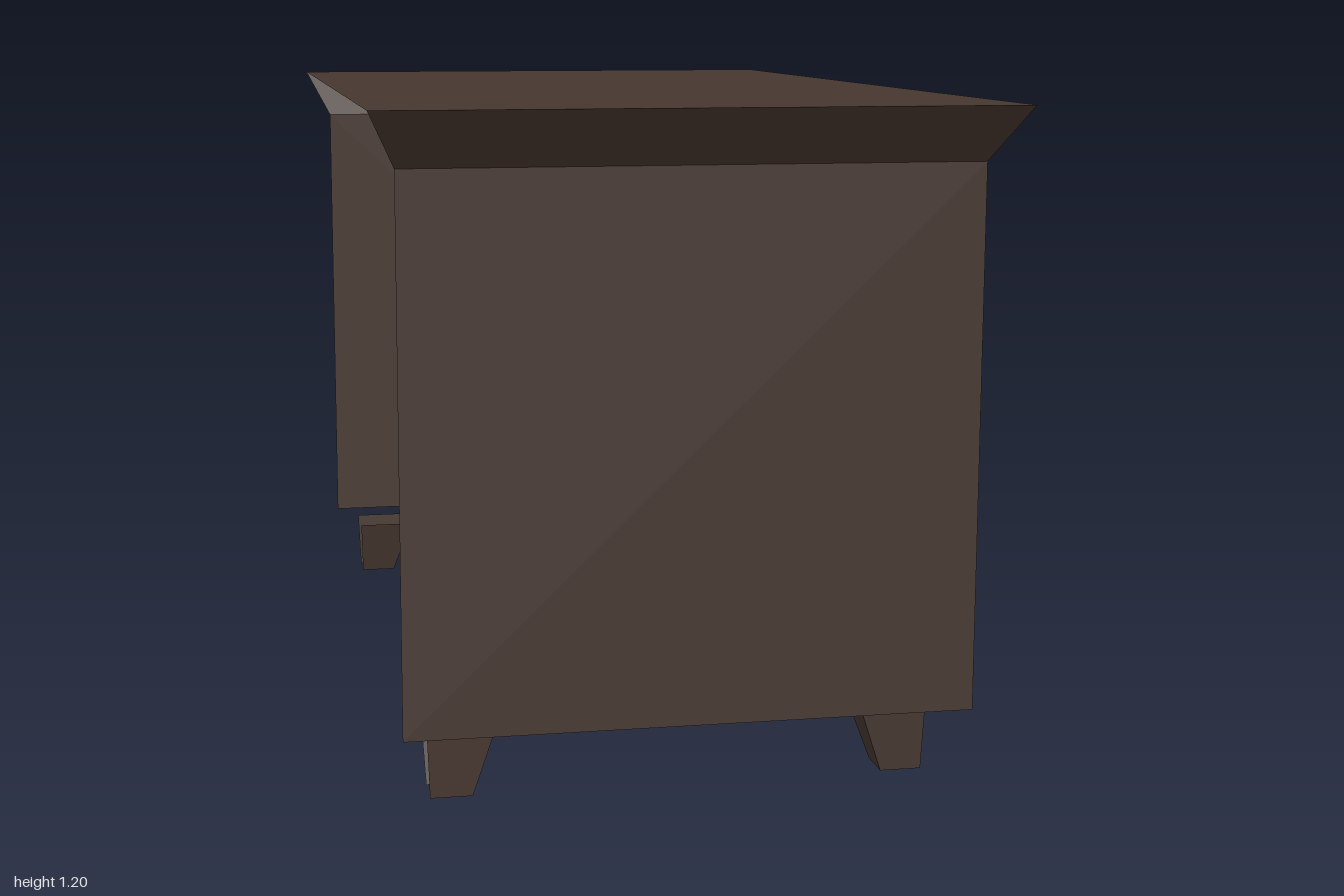
import * as THREE from 'three';

// Corners of a horizontal rectangle: front left of frame, then counterclockwise seen from above
const rect = (x0, x1, z0, z1, y) => [[x0, y, z1], [x1, y, z1], [x1, y, z0], [x0, y, z0]];

// One flat four-cornered panel
function panel(name, corners, material) {
  const [a, b, c, d] = corners;
  const geometry = new THREE.BufferGeometry();
  geometry.setAttribute('position', new THREE.Float32BufferAttribute([a, b, c, a, c, d].flat(), 3));
  geometry.computeVertexNormals();
  const mesh = new THREE.Mesh(geometry, material);
  mesh.name = name;
  return mesh;
}

// Open ring of panels between two rectangles, on the listed sides (0 front, 1 +x, 2 back, 3 -x)
const sideNames = ['Front', 'Left', 'Back', 'Right'];
function ring(name, low, high, sides, material) {
  const group = new THREE.Group();
  group.name = name;
  for (const i of sides) {
    const j = (i + 1) % 4;
    group.add(panel(name + sideNames[i], [low[i], low[j], high[j], high[i]], material));
  }
  return group;
}

export function createModel() {
  const model = new THREE.Group();
  model.name = 'sideTable';
  const wood = new THREE.MeshStandardMaterial({ color: 0x463730, side: THREE.DoubleSide });
  wood.name = 'dark wood';

  // Body and flared cornice, open on the -x side and below
  const base = rect(-0.51, 0.51, -0.905, 0.905, 0.12);
  const neck = rect(-0.51, 0.51, -0.905, 0.905, 1.1);
  const rim = rect(-0.56, 0.56, -1, 1, 1.2);
  model.add(ring('wall', base, neck, [0, 1, 2], wood));
  model.add(ring('cornice', neck, rim, [0, 1, 2], wood));
  model.add(panel('top', rim, wood));

  // Hollow feet, tapering mostly on their inner sides; the -x pair lacks its outer face
  const footRect = (sx, sz, xIn, xOut, zIn, zOut, y) => {
    const xs = [xIn, xOut].map(v => sx * v - 0.015).sort((a, b) => a - b);
    const zs = [zIn, zOut].map(v => sz * v + 0.02).sort((a, b) => a - b);
    return rect(...xs, ...zs, y);
  };
  for (const sx of [-1, 1]) {
    for (const sz of [-1, 1]) {
      const low = footRect(sx, sz, 0.37, 0.445, 0.77, 0.84, 0);
      const high = footRect(sx, sz, 0.33, 0.45, 0.735, 0.845, 0.12);
      model.add(ring('foot', low, high, sx > 0 ? [0, 1, 2, 3] : [0, 1, 2], wood));
    }
  }
  return model;
}
